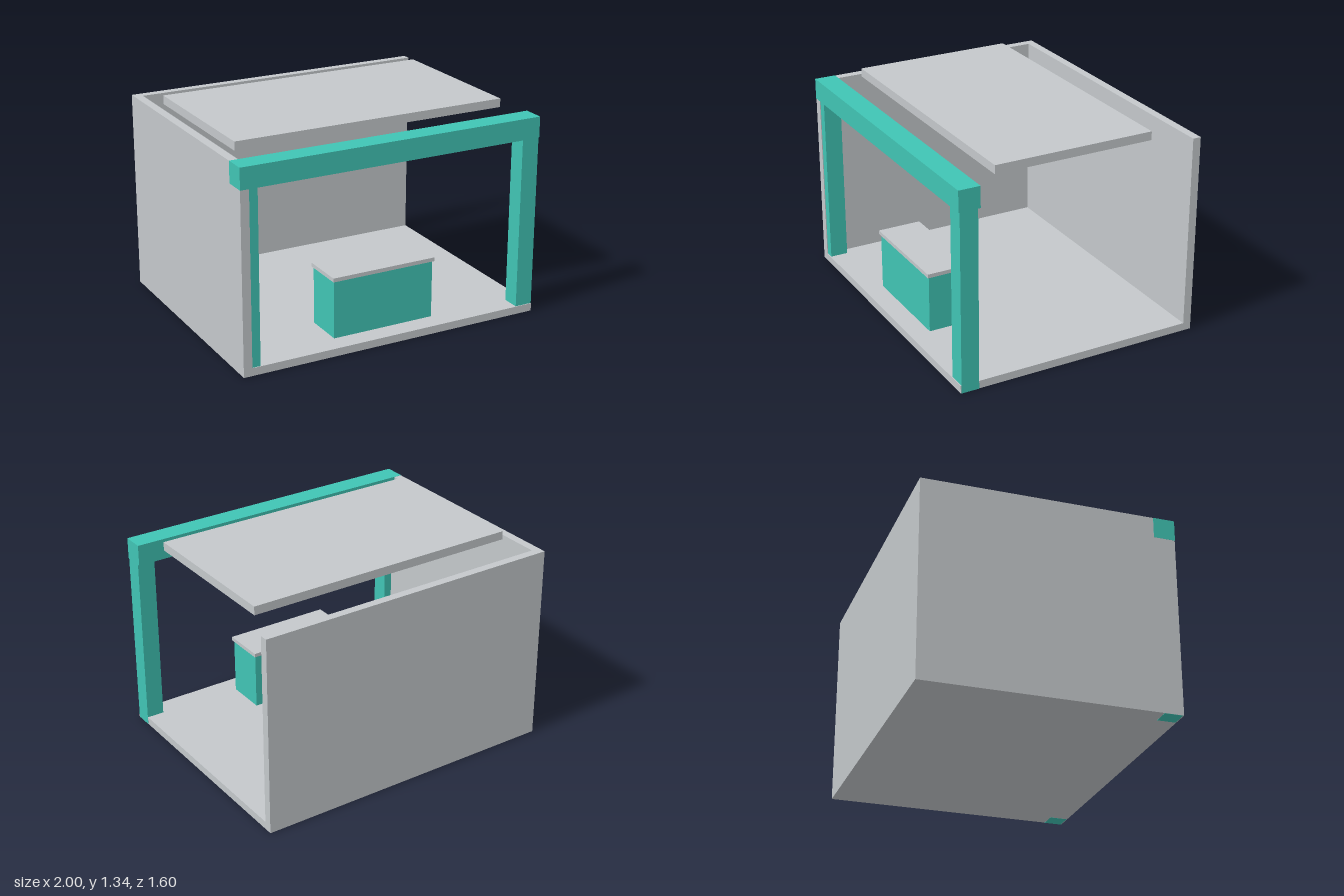
import * as THREE from 'three';

export function createModel() {
  const grey = new THREE.MeshStandardMaterial({ name: 'light grey panel', color: 0xc4c8cb });
  const teal = new THREE.MeshStandardMaterial({ name: 'teal accent', color: 0x40c4b4 });
  const booth = new THREE.Group();
  booth.name = 'exhibitionBooth';

  // Box given by its extents along each axis
  function box(name, material, [x0, x1], [y0, y1], [z0, z1], parent = booth) {
    const mesh = new THREE.Mesh(new THREE.BoxGeometry(x1 - x0, y1 - y0, z1 - z0), material);
    mesh.position.set((x0 + x1) / 2, (y0 + y1) / 2, (z0 + z1) / 2);
    mesh.name = name;
    parent.add(mesh);
  }

  // Shell: floor, back wall and one side wall; the other side stays open
  box('floor', grey, [-1, 1], [0, 0.05], [-0.8, 0.8]);
  box('backWall', grey, [-1, 1], [0.05, 1.28], [-0.8, -0.747]);
  box('rightWall', grey, [-1, -0.945], [0.05, 1.28], [-0.747, 0.8]);

  // Front frame, a hair proud of the shell so the faces do not coincide
  const frame = new THREE.Group();
  frame.name = 'frontFrame';
  booth.add(frame);
  box('leftPost', teal, [0.887, 1.001], [-0.001, 1.15], [0.68, 0.795], frame);
  box('rightPost', teal, [-0.999, -0.89], [-0.001, 1.15], [0.68, 0.795], frame);
  box('headerBeam', teal, [-1.001, 1.001], [1.147, 1.281], [0.664, 0.802], frame);

  // Ceiling panel
  box('ceilingPanel', grey, [-0.9, 0.9], [1.28, 1.335], [-0.52, 0.52]);

  // Reception counter
  const counter = new THREE.Group();
  counter.name = 'counter';
  booth.add(counter);
  box('counterBody', teal, [-0.34, 0.34], [0.02, 0.42], [0.408, 0.67], counter);
  box('counterTop', grey, [-0.35, 0.35], [0.42, 0.445], [0.396, 0.68], counter);

  return booth;
}
